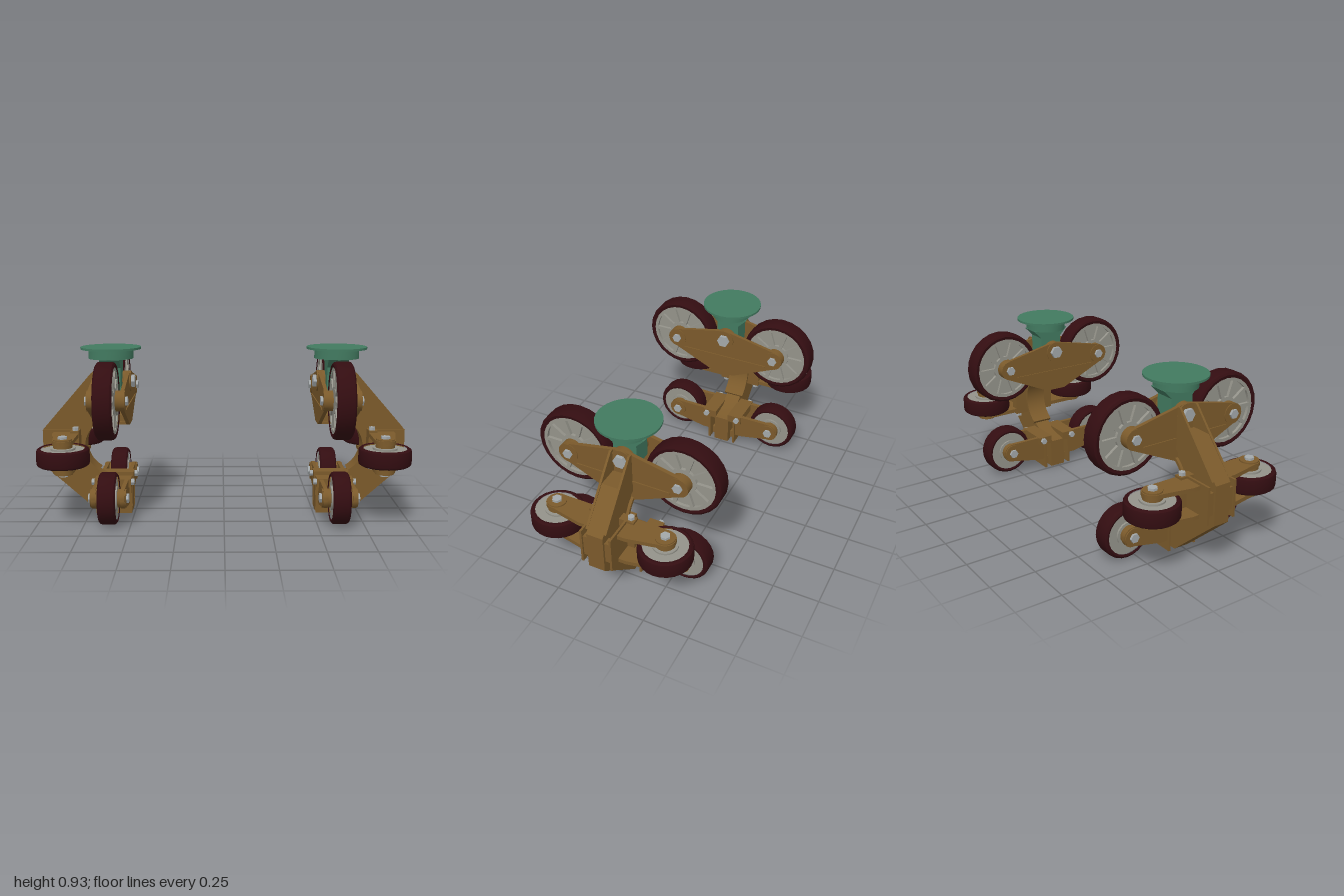
import * as THREE from 'three';
import { toCreasedNormals } from 'three/addons/utils/BufferGeometryUtils.js';

const mat = (name, color) => Object.assign(new THREE.MeshStandardMaterial({ color }), { name });

export function createModel() {
  const frameMat = mat('bronze steel', 0x7b5a2b);
  const tyreMat = mat('dark red tyre', 0x330d11);
  const rimMat = mat('grey rim', 0x94938a);
  const boltMat = mat('bolt steel', 0xa3a8aa);
  const greenMat = mat('green mount', 0x427a60);

  const mesh = (parent, name, geo, material) => {
    const m = new THREE.Mesh(geo, material);
    m.name = name;
    parent.add(m);
    return m;
  };
  // box given by its min and max on each axis
  const box = (parent, name, x0, x1, y0, y1, z0, z1, material = frameMat) =>
    mesh(parent, name, new THREE.BoxGeometry(x1 - x0, y1 - y0, z1 - z0)
      .translate((x0 + x1) / 2, (y0 + y1) / 2, (z0 + z1) / 2), material);
  // cylinder along x
  const rod = (parent, name, r, x0, x1, y, z, material = frameMat, sides = 20) =>
    mesh(parent, name, toCreasedNormals(new THREE.CylinderGeometry(r, r, x1 - x0, sides)
      .rotateZ(-Math.PI / 2), 0.5).translate((x0 + x1) / 2, y, z), material);
  const toShape = pts => new THREE.Shape(pts.map(p => new THREE.Vector2(p[0], p[1])));
  const extrude = (shape, depth) => toCreasedNormals(new THREE.ExtrudeGeometry(shape,
    { depth, bevelEnabled: false, curveSegments: 20 }).translate(0, 0, -depth / 2), 0.5);
  // plate drawn in (z, y), with its thickness along x
  const sidePlate = (parent, name, shape, x, t, material = frameMat) =>
    mesh(parent, name, extrude(shape, t).rotateY(-Math.PI / 2).translate(x, 0, 0), material);
  const arc = (cx, cy, r, a0, a1, n = 10) => Array.from({ length: n + 1 }, (_, i) => {
    const a = THREE.MathUtils.degToRad(a0 + (a1 - a0) * i / n);
    return [cx + r * Math.cos(a), cy + r * Math.sin(a)];
  });

  // Wheel with its axle along x
  function wheel(name, R, rimR, w, spoked) {
    const g = new THREE.Group();
    g.name = name;
    const h = w / 2;
    const profile = [[rimR, -h + 0.004], [R - 0.014, -h], [R - 0.003, -h + 0.008], [R, -h + 0.018],
      [R, h - 0.018], [R - 0.003, h - 0.008], [R - 0.014, h], [rimR, h - 0.004]];
    const lathe = new THREE.LatheGeometry(profile.map(p => new THREE.Vector2(p[0], p[1])), 24);
    mesh(g, 'tyre', toCreasedNormals(lathe.rotateZ(-Math.PI / 2), 0.45), tyreMat);
    if (spoked) {
      // ring, hub and spokes left standing between ten pockets
      const face = toShape(arc(0, 0, rimR + 0.001, 0, 345, 23));
      for (let i = 0; i < 10; i++) {
        const mid = i * 36 + 18;
        const pocket = [...arc(0, 0, 0.157, mid - 14.5, mid + 14.5, 4),
          ...arc(0, 0, 0.072, mid + 10, mid - 10, 2)];
        face.holes.push(new THREE.Path(pocket.map(p => new THREE.Vector2(p[0], p[1]))));
      }
      sidePlate(g, 'spokedRim', face, 0, w - 0.012, rimMat);
      rod(g, 'rimWeb', rimR - 0.005, -h + 0.022, h - 0.022, 0, 0, rimMat, 24);
    } else {
      rod(g, 'rimDisc', rimR + 0.001, -h + 0.01, h - 0.01, 0, 0, rimMat, 24);
      rod(g, 'rimHub', 0.065, -h, h, 0, 0, rimMat, 24);
    }
    return g;
  }

  // Two small wheels on arms: x is the axle, y points to the rail
  function smallWheelSet(name) {
    const g = new THREE.Group();
    g.name = name;
    for (const s of [1, -1]) {
      const w = wheel('wheel', 0.14, 0.115, 0.096, false);
      w.position.z = s * 0.305;
      g.add(w);
      const zs = (a, b) => s > 0 ? [a, b] : [-b, -a];
      const outline = [[0.088, 0.055], ...arc(0.305, 0, 0.055, 90, -98, 14), [0.13, -0.088], [0.088, -0.088]];
      for (const e of [1, -1]) {
        sidePlate(g, 'arm', toShape(outline.map(p => [s * p[0], p[1]])), e * 0.077, 0.022);
        const span = (a, b) => e > 0 ? [a, b] : [-b, -a];
        rod(g, 'hubBoss', 0.05, ...span(0.049, 0.095), 0, s * 0.305);
        rod(g, 'axleBolt', 0.026, ...span(0.09, 0.108), 0, s * 0.305, boltMat, 6);
        rod(g, 'clampBolt', 0.018, ...span(0.1, 0.118), 0.036, s * 0.1, boltMat, 6);
      }
      box(g, 'clampBlock', -0.1, 0.1, 0.01, 0.057, ...zs(0.04, 0.126));
      box(g, 'mountPlate', -0.1, 0.1, -0.147, 0.013, ...zs(0.075, 0.087));
      box(g, 'mountSpacer', -0.06, 0.06, -0.137, -0.092, ...zs(0.04, 0.08));
    }
    return g;
  }

  function bogie(name) {
    const g = new THREE.Group();
    g.name = name;
    const cx = 0.615;

    // C-shaped frame around the rail
    const inner = arc(cx, 0.375, 0.17, -58, 58, 14);
    const body = [[0.72, 0.66], [0.83, 0.66], [1, 0.473], [1, 0.26], [0.71, 0], [0.515, 0], [0.515, 0.165],
      [0.63, 0.185], ...inner, [0.66, 0.535], [0.52, 0.505], [0.52, 0.53], [0.68, 0.59]];
    mesh(g, 'frame', extrude(toShape(body), 0.09), frameMat);
    const flange = [...arc(cx, 0.375, 0.156, -60, 60, 14), ...arc(cx, 0.375, 0.172, 60, -60, 14)];
    mesh(g, 'innerFlange', extrude(toShape(flange), 0.12), frameMat);
    const rib = toShape([[0.71, 0.785], [0.728, 0.785], [0.985, 0.49], [0.9, 0.49], [0.77, 0.53], [0.71, 0.56]]);
    for (const s of [1, -1])
      mesh(g, 'frameRib', extrude(rib, 0.012).translate(0, 0, s * 0.051), frameMat);

    // Upper rocker plates carrying the large wheels
    const plate = toShape([...arc(0, 0.735, 0.057, 78, 102, 4), ...arc(-0.305, 0.672, 0.055, 102, 240, 12),
      [-0.06, 0.5], [0.06, 0.5], ...arc(0.305, 0.672, 0.055, -60, 78, 12)]);
    for (const e of [1, -1]) {
      const span = (a, b) => e > 0 ? [cx + a, cx + b] : [cx - b, cx - a];
      sidePlate(g, 'rockerPlate', plate, cx + e * 0.086, 0.02);
      box(g, 'rockerLedge', ...span(0.072, 0.102), 0.616, 0.624, -0.26, 0.26);
      rod(g, 'pivotBoss', 0.058, ...span(0.058, 0.103), 0.735, 0);
      rod(g, 'pivotBolt', 0.036, ...span(0.1, 0.122), 0.735, 0, boltMat, 6);
      for (const s of [1, -1]) {
        rod(g, 'hubBoss', 0.055, ...span(0.05, 0.1), 0.672, s * 0.305);
        rod(g, 'axleBolt', 0.026, ...span(0.095, 0.113), 0.672, s * 0.305, boltMat, 6);
      }
    }
    box(g, 'rockerCrossPlate', cx - 0.09, cx + 0.09, 0.5, 0.515, -0.06, 0.06);
    for (const s of [1, -1]) {
      const w = wheel('largeWheel', 0.205, 0.175, 0.1, true);
      w.position.set(cx, 0.672, s * 0.305);
      g.add(w);
    }

    // Green mount: neck on the pivot, collar and round top plate
    const neck = toShape([[-0.065, 0.69], [0.065, 0.69], [0.065, 0.815], [0.11, 0.862], [-0.11, 0.862], [-0.065, 0.815]]);
    sidePlate(g, 'mountNeck', neck, cx + 0.005, 0.11, greenMat);
    const collar = new THREE.CylinderGeometry(0.11, 0.11, 0.052, 24).scale(1.12, 1, 1);
    mesh(g, 'mountCollar', toCreasedNormals(collar, 0.5).translate(cx + 0.007, 0.887, 0), greenMat);
    const disc = new THREE.CylinderGeometry(0.166, 0.166, 0.012, 32);
    mesh(g, 'mountDisc', toCreasedNormals(disc, 0.5).translate(cx + 0.007, 0.919, 0), greenMat);

    // Wheels below and beside the rail
    const lower = smallWheelSet('lowerWheels');
    lower.position.set(cx, 0.147, 0);
    const side = smallWheelSet('sideWheels');
    side.position.set(0.85, 0.375, 0);
    side.rotation.z = Math.PI / 2;
    g.add(lower, side);
    return g;
  }

  const model = new THREE.Group();
  model.name = 'wheelCarriage';
  const right = bogie('rightBogie');
  right.rotation.y = Math.PI;
  model.add(bogie('leftBogie'), right);
  return model;
}
